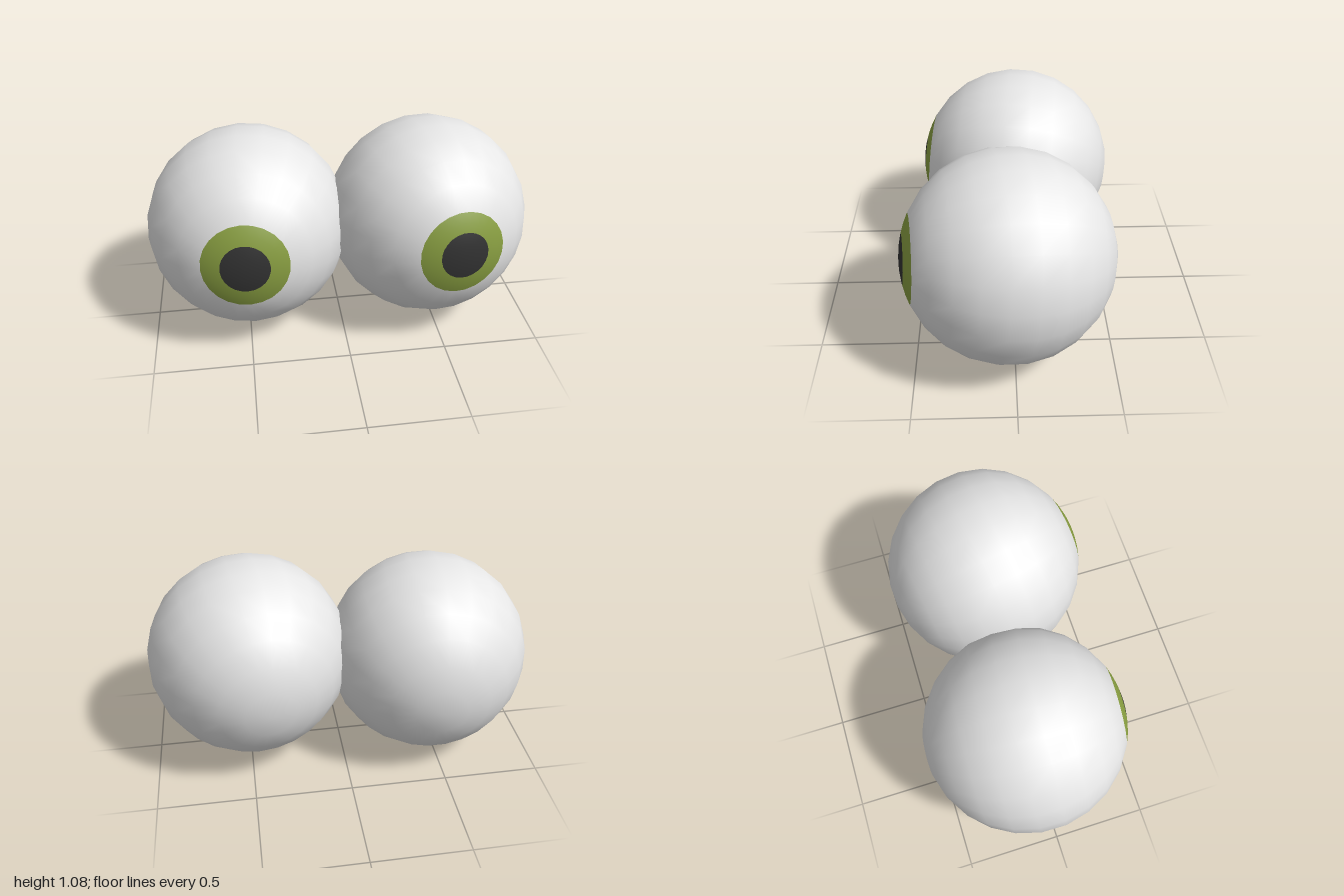
import * as THREE from 'three';

const RADIUS = 0.528;
const SEGMENTS = 24;

const material = (name, color) => {
  const m = new THREE.MeshStandardMaterial({ color });
  m.name = name;
  return m;
};

export function createModel() {
  const white = material('eyeWhite', 0xe6e6e6);
  const green = material('irisGreen', 0x8aa042);
  const black = material('pupilBlack', 0x333333);

  // Ring-shaped part of the ball between two angles from the gaze axis
  const band = (name, mat, rows, from, to) => {
    const geometry = new THREE.SphereGeometry(
      RADIUS, SEGMENTS, rows, 0, Math.PI * 2, from, to - from);
    const mesh = new THREE.Mesh(geometry, mat);
    mesh.name = name;
    return mesh;
  };

  // Eyeball with its pole turned towards the gaze direction
  const eyeball = (name, center, gazeX, gazeY) => {
    const eye = new THREE.Group();
    eye.name = name;
    const pupilEdge = Math.asin(0.122 / RADIUS);
    const irisEdge = Math.asin(0.217 / RADIUS);
    eye.add(
      band('pupil', black, 2, 0, pupilEdge),
      band('iris', green, 2, pupilEdge, irisEdge),
      band('eyeWhite', white, 11, irisEdge, Math.PI),
    );
    const gaze = new THREE.Vector3(gazeX, gazeY, 0.5).normalize();
    eye.quaternion.setFromUnitVectors(new THREE.Vector3(0, 1, 0), gaze);
    eye.position.set(...center);
    return eye;
  };

  const model = new THREE.Group();
  model.name = 'eyes';
  model.add(
    eyeball('rightEye', [-0.473, 0.528, -0.034], -0.033, 0.048),
    eyeball('leftEye', [0.473, 0.553, 0.03], 0.075, 0.044),
  );
  return model;
}
